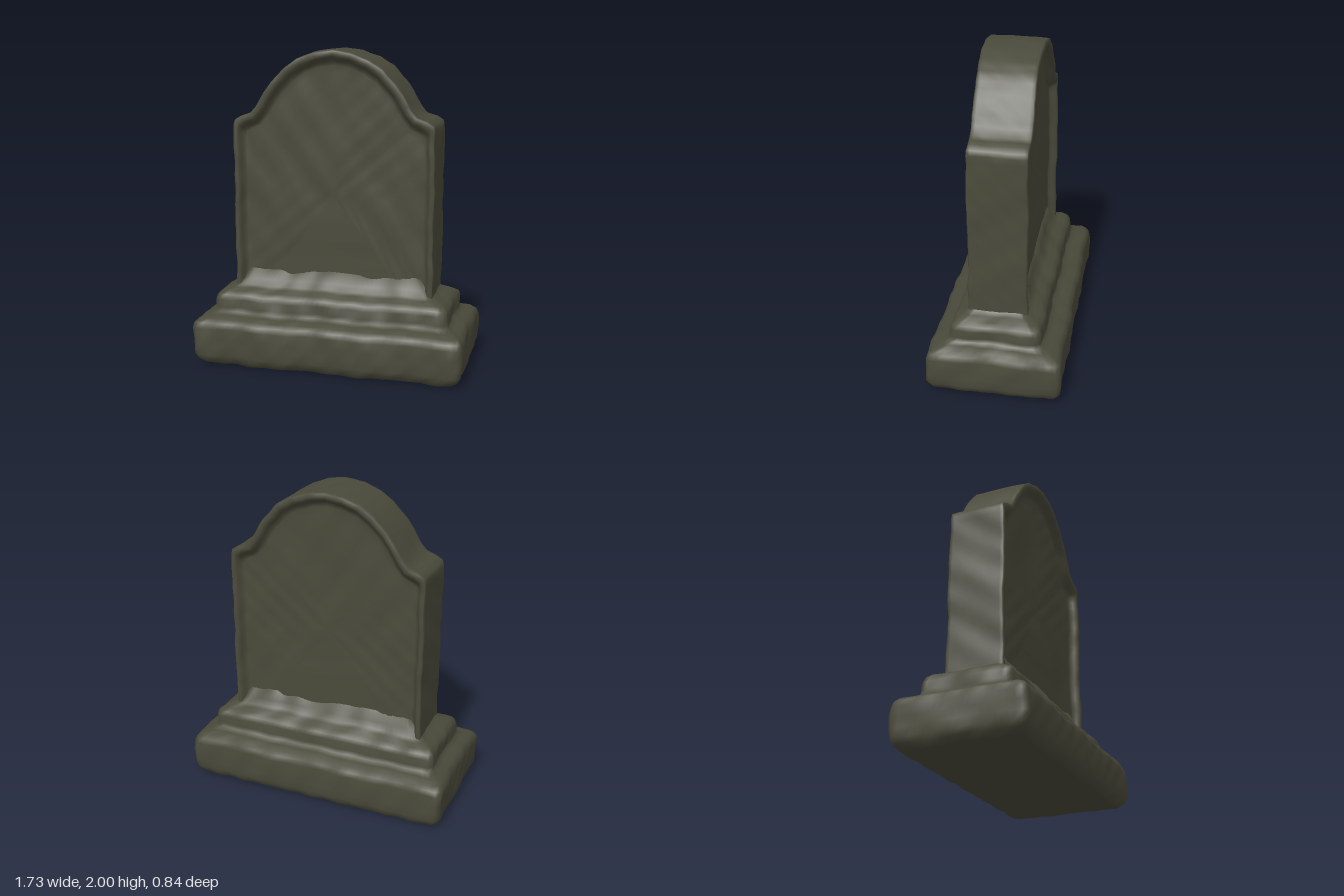
import * as THREE from 'three';

// Smooth repeatable lumpiness, like worn stone
function wear(p, amount) {
  const n = (a, b, c) =>
    Math.sin(a * 11 + 1.3 * Math.sin(b * 9 + c * 5)) * 0.5 +
    Math.sin(a * 27 + b * 19 - c * 23 + 2 * Math.sin(c * 13)) * 0.3 +
    Math.sin(b * 43 - a * 37 + c * 31) * 0.2;
  return new THREE.Vector3(
    p.x + amount * n(p.y, p.z + 1, p.x),
    p.y + amount * 0.7 * n(p.x + 2, p.z, p.y),
    p.z + amount * n(p.x, p.y + 3, p.z)
  );
}

// Skin a list of equal-length rings and close both ends
function loft(rings, amount) {
  const n = rings[0].length;
  const points = rings.flat();
  const index = [];
  for (let i = 0; i < rings.length - 1; i++) {
    for (let j = 0; j < n; j++) {
      const k = (j + 1) % n;
      const a = i * n + j, b = i * n + k, c = b + n, d = a + n;
      index.push(a, b, c, a, c, d);
    }
  }
  const centre = (ring) => ring.reduce((s, p) => s.add(p), new THREE.Vector3()).divideScalar(n);
  const first = points.length, last = first + 1, end = (rings.length - 1) * n;
  points.push(centre(rings[0]), centre(rings[rings.length - 1]));
  for (let j = 0; j < n; j++) {
    const k = (j + 1) % n;
    index.push(first, k, j, last, end + j, end + k);
  }
  const geometry = new THREE.BufferGeometry().setFromPoints(points.map((p) => {
    const q = wear(p, amount);
    q.y = Math.min(2, Math.max(0.005, q.y));
    return q;
  }));
  geometry.setIndex(index);
  geometry.computeVertexNormals();
  return geometry;
}

// Horizontal rectangle with clipped corners, evenly subdivided
function rectRing(hx, hz, y) {
  const r = 0.025;
  const ring = [];
  const side = (x0, z0, x1, z1, steps) => {
    for (let i = 0; i <= steps; i++) {
      const t = i / steps;
      ring.push(new THREE.Vector3(x0 + (x1 - x0) * t, y, z0 + (z1 - z0) * t));
    }
  };
  side(-hx + r, hz, hx - r, hz, 44);
  side(hx, hz - r, hx, -hz + r, 20);
  side(hx - r, -hz, -hx + r, -hz, 44);
  side(-hx, -hz + r, -hx, hz - r, 20);
  return ring;
}

// Right half of the headstone: outer x, y and the matching panel edge x, y
const HALF = [
  [0.64, 0.3, 0.585, 0.3], [0.64, 1.53, 0.585, 1.47], [0.632, 1.56, 0.575, 1.495],
  [0.595, 1.583, 0.545, 1.515], [0.53, 1.605, 0.485, 1.545], [0.495, 1.645, 0.445, 1.595],
  [0.44, 1.735, 0.39, 1.685], [0.39, 1.805, 0.345, 1.745], [0.31, 1.89, 0.27, 1.825],
  [0.225, 1.945, 0.195, 1.877], [0.12, 1.985, 0.1, 1.913], [0, 2, 0, 1.928],
];

function headstoneOutline() {
  const half = [];
  for (let i = 0; i < HALF.length - 1; i++) {
    const a = HALF[i], b = HALF[i + 1];
    const steps = Math.max(1, Math.round(Math.hypot(b[0] - a[0], b[1] - a[1]) / 0.04));
    for (let s = 0; s < steps; s++) half.push(a.map((v, k) => v + (b[k] - v) * s / steps));
  }
  const mirrored = half.map(([x, y, u, v]) => [-x, y, -u, v]).reverse();
  return [...half, HALF[HALF.length - 1], ...mirrored];
}

function headstoneGeometry() {
  const outline = headstoneOutline();
  // t = 0 at panel edge, 1 at outer edge
  const rim = (t, z) => outline.map(([x, y, u, v]) =>
    new THREE.Vector3(u + (x - u) * t, v + (y - v) * t, z));
  // s shrinks the panel edge toward its middle
  const panel = (s, z) => outline.map(([, , u, v]) =>
    new THREE.Vector3(u * s, 1.1 + (v - 1.1) * s, z));
  const face = [];
  for (let i = 1; i <= 11; i++) face.push([panel, i / 12, 0.128]);
  face.push([panel, 0.97, 0.128], [rim, 0, 0.133], [rim, 0.2, 0.157], [rim, 0.4, 0.175],
    [rim, 0.6, 0.181], [rim, 0.9, 0.18], [rim, 0.99, 0.172], [rim, 1, 0.155],
    [rim, 1, 0.1], [rim, 1, 0.05]);
  const back = face.map(([make, t, z]) => make(t, -z));
  const front = face.map(([make, t, z]) => make(t, z)).reverse();
  return loft([...back, rim(1, 0), ...front], 0.006);
}

// Base steps from the ground up: half width, half depth, height
const BASE = [
  [0.4, 0.1, 0.008], [0.79, 0.35, 0.008], [0.81, 0.37, 0.012], [0.84, 0.395, 0.04],
  [0.855, 0.408, 0.075], [0.857, 0.41, 0.13], [0.857, 0.41, 0.19], [0.857, 0.408, 0.25],
  [0.848, 0.4, 0.285], [0.825, 0.375, 0.308], [0.785, 0.325, 0.322], [0.757, 0.288, 0.335],
  [0.752, 0.28, 0.36], [0.752, 0.277, 0.41], [0.742, 0.265, 0.44], [0.715, 0.238, 0.462],
  [0.67, 0.2, 0.478], [0.645, 0.18, 0.495], [0.61, 0.15, 0.53], [0.575, 0.125, 0.6],
  [0.4, 0.05, 0.6],
];

export function createModel() {
  const stone = new THREE.MeshStandardMaterial({ color: 0x4a4a3b });
  stone.name = 'mossy stone';
  const group = new THREE.Group();
  group.name = 'gravestone';

  const base = new THREE.Mesh(loft(BASE.map((b) => rectRing(...b)), 0.009), stone);
  base.name = 'steppedBase';
  const headstone = new THREE.Mesh(headstoneGeometry(), stone);
  headstone.name = 'headstone';

  group.add(base, headstone);
  return group;
}
